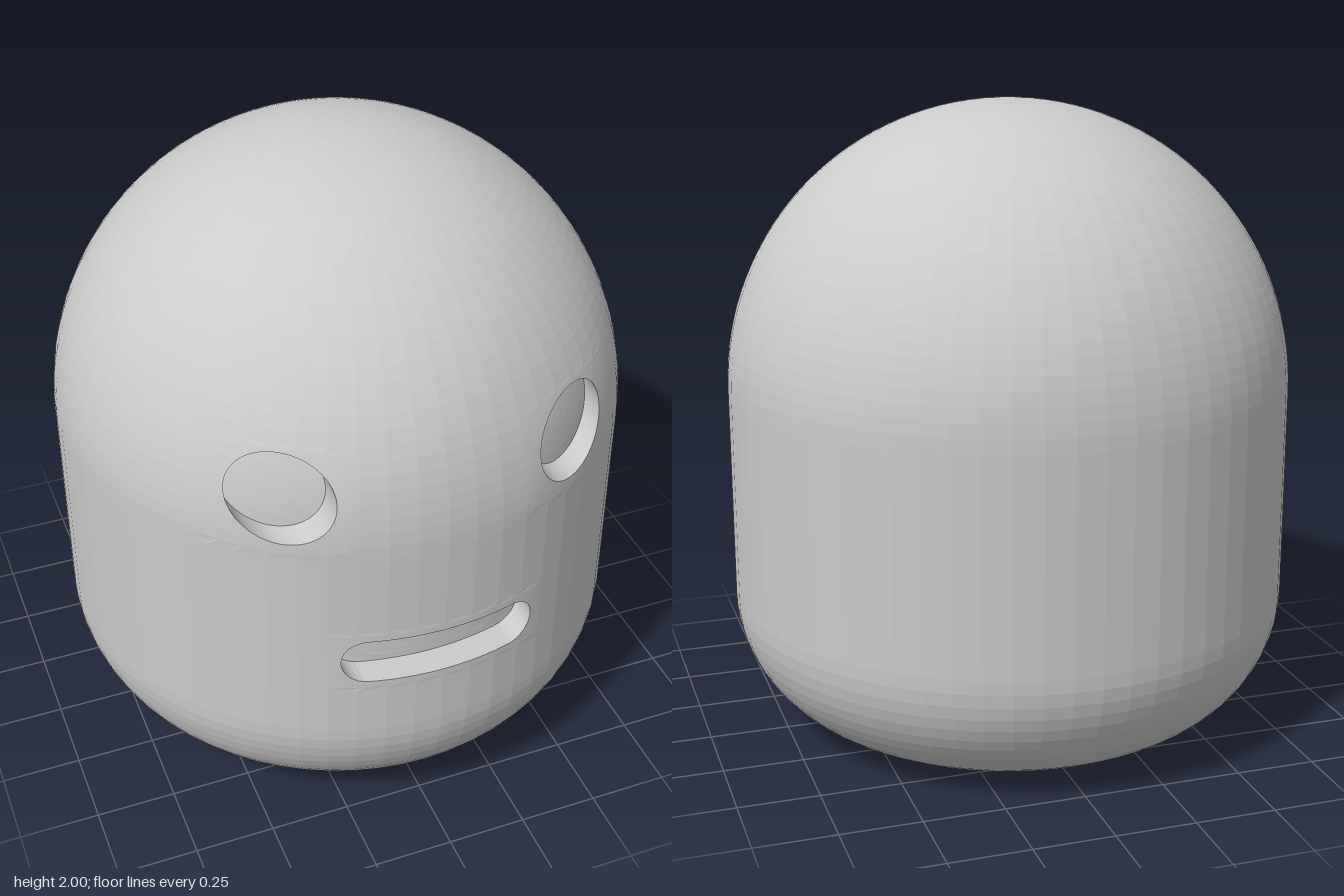
import * as THREE from 'three';

const R = 0.89, FILLET = 0.445, DOME_Y = 1.11;   // body radius, bottom rounding, dome centre height
const SEG = 64, DEPTH = 0.09;                    // segments around, depth of the pockets
const FILLET_N = 16, WALL_N = 12, DOME_N = 32;

// Recesses: rounded slot (half straight length h, radius r) inside a block of body cells
const domeRow = 1 + FILLET_N + WALL_N;
const wallRow = 1 + FILLET_N;
const recesses = [
  { name: 'leftEye', x: 0.445, y: 1.295, h: 0, r: 0.136, i0: 3, i1: 9, j0: domeRow, j1: domeRow + 8 },
  { name: 'rightEye', x: -0.445, y: 1.295, h: 0, r: 0.136, i0: -9, i1: -3, j0: domeRow, j1: domeRow + 8 },
  { name: 'mouth', x: 0, y: 0.722, h: 0.227, r: 0.078, i0: -4, i1: 4, j0: wallRow + 3, j1: wallRow + 7 },
];

// Body profile from bottom centre to top: flat base, rounding, straight wall, dome
function makeProfile() {
  const p = [[0, 0]];
  for (let k = 0; k <= FILLET_N; k++) {
    const a = (k / FILLET_N) * Math.PI / 2;
    p.push([R - FILLET + FILLET * Math.sin(a), FILLET * (1 - Math.cos(a))]);
  }
  for (let k = 1; k <= WALL_N; k++) p.push([R, FILLET + (DOME_Y - FILLET) * k / WALL_N]);
  for (let k = 1; k <= DOME_N; k++) {
    const a = (k / DOME_N) * Math.PI / 2;
    p.push([R * Math.cos(a), DOME_Y + R * Math.sin(a)]);
  }
  return p;
}
const profile = makeProfile();

// Point of the body grid
function gridPoint(i, j) {
  const a = (i / SEG) * Math.PI * 2, [r, y] = profile[j];
  return new THREE.Vector3(r * Math.sin(a), y, r * Math.cos(a));
}

// Point on the front of the body above (x, y), pushed back by depth
function frontPoint(x, y, depth = 0) {
  const up = Math.max(0, y - DOME_Y);
  return new THREE.Vector3(x, y, Math.sqrt(R * R - up * up - x * x) - depth);
}

function addQuad(out, a, b, c, d) {
  for (const [p, q, s] of [[a, b, c], [a, c, d]]) {
    if (p.distanceTo(q) < 1e-6 || q.distanceTo(s) < 1e-6 || s.distanceTo(p) < 1e-6) continue;
    for (const v of [p, q, s]) out.push(v.x, v.y, v.z);
  }
}

// Joins successive closed loops, outermost first
function stitch(out, loops) {
  for (let k = 0; k + 1 < loops.length; k++) {
    const a = loops[k], b = loops[k + 1], n = a.length;
    for (let i = 0; i < n; i++) {
      const m = (i + 1) % n;
      addQuad(out, a[i], a[m], b[m], b[i]);
    }
  }
}

// Counterclockwise outline of a block of cells, each edge split in four
function blockOutline({ i0, i1, j0, j1 }) {
  const corners = [];
  for (let i = i0; i < i1; i++) corners.push(gridPoint(i, j0));
  for (let j = j0; j < j1; j++) corners.push(gridPoint(i1, j));
  for (let i = i1; i > i0; i--) corners.push(gridPoint(i, j1));
  for (let j = j1; j > j0; j--) corners.push(gridPoint(i0, j));
  return corners.flatMap((p, k) => {
    const q = corners[(k + 1) % corners.length];
    return [0, 0.25, 0.5, 0.75].map((t) => p.clone().lerp(q, t));
  });
}

// Where the ray from the slot centre towards p meets the slot edge
function slotEdge({ x, y, h, r }, p) {
  const a = Math.atan2(p.y - y, p.x - x);
  const c = Math.cos(a), s = Math.sin(a);
  let t = r / Math.max(Math.abs(s), 1e-9);
  if (t * Math.abs(c) > h) t = h * Math.abs(c) + Math.sqrt(r * r - h * h * s * s);
  return frontPoint(x + t * c, y + t * s);
}

function makeMesh(name, positions) {
  const geometry = new THREE.BufferGeometry();
  geometry.setAttribute('position', new THREE.Float32BufferAttribute(positions, 3));
  geometry.computeVertexNormals();
  const mesh = new THREE.Mesh(geometry, new THREE.MeshStandardMaterial({ color: 0xcccccc, flatShading: true }));
  mesh.name = name;
  return mesh;
}

export function createModel() {
  const group = new THREE.Group();
  group.name = 'figureHead';
  const body = [];

  // Body of revolution, leaving the recess blocks open
  for (let i = -SEG / 2; i < SEG / 2; i++) {
    for (let j = 0; j + 1 < profile.length; j++) {
      if (recesses.some((f) => i >= f.i0 && i < f.i1 && j >= f.j0 && j < f.j1)) continue;
      addQuad(body, gridPoint(i, j), gridPoint(i + 1, j), gridPoint(i + 1, j + 1), gridPoint(i, j + 1));
    }
  }

  for (const f of recesses) {
    const outer = blockOutline(f);
    const rim = outer.map((p) => slotEdge(f, p));

    // Skin between the block outline and the rim of the recess
    const between = [0.33, 0.67].map((t) => outer.map((p, k) => {
      const q = p.clone().lerp(rim[k], t);
      return frontPoint(q.x, q.y);
    }));
    stitch(body, [outer, ...between, rim]);

    // Side wall and floor; the floor follows the curve of the body
    const floor = [1, 0.75, 0.5, 0.25, 0].map((t) => rim.map((p) =>
      frontPoint(f.x + (p.x - f.x) * t, f.y + (p.y - f.y) * t, DEPTH)));
    const pocket = [];
    stitch(pocket, [rim, ...floor]);
    group.add(makeMesh(f.name, pocket));
  }

  group.add(makeMesh('body', body));
  return group;
}
